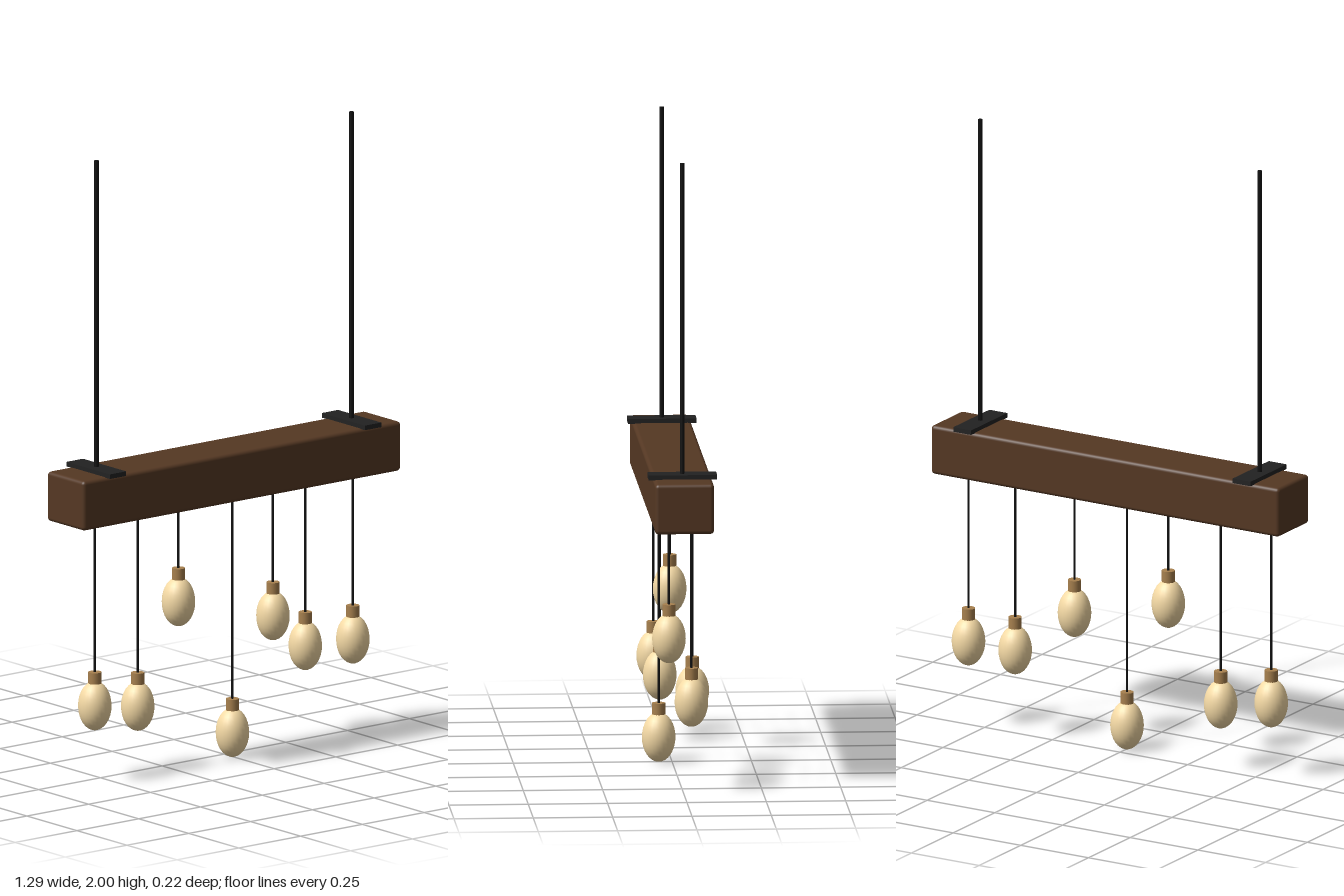
import * as THREE from 'three';
import { RoundedBoxGeometry } from 'three/addons/geometries/RoundedBoxGeometry.js';

export function createModel() {
  const root = new THREE.Group();
  root.name = 'pendantLamp';

  const wood = new THREE.MeshStandardMaterial({ color: 0x553823 });
  const iron = new THREE.MeshStandardMaterial({ color: 0x222222 });
  const cable = new THREE.MeshStandardMaterial({ color: 0x111111 });
  const brass = new THREE.MeshStandardMaterial({ color: 0xa8814f });
  const glass = new THREE.MeshStandardMaterial({ color: 0xf6dba6 });

  const add = (parent, name, geometry, material, x, y, z) => {
    const mesh = new THREE.Mesh(geometry, material);
    mesh.name = name;
    mesh.position.set(x, y, z);
    parent.add(mesh);
    return mesh;
  };

  // Wooden beam with softened edges
  const beamBottom = 0.836, beamTop = 0.996;
  add(root, 'beam', new RoundedBoxGeometry(1.286, beamTop - beamBottom, 0.186, 3, 0.012),
    wood, 0, (beamTop + beamBottom) / 2, 0);

  // Iron straps across the beam, each with a suspension rod
  for (const side of [-1, 1]) {
    const x = side * 0.516;
    const name = side > 0 ? 'left' : 'right';
    add(root, name + 'Bracket', new THREE.BoxGeometry(0.066, 0.015, 0.216), iron, x, 1.002, 0);
    add(root, name + 'Rod', new THREE.CylinderGeometry(0.0075, 0.0075, 1, 12), cable, x, 1.5, 0);
  }

  // Hanging bulbs: [height of the bulb's lowest point, z offset], right to left
  const hangers = [
    [0.166, 0.025], [0.135, 0.016], [0.442, -0.004], [0, 0.042],
    [0.346, 0.021], [0.21, -0.041], [0.206, -0.027],
  ];
  const bulbRadius = 0.053, bulbHalf = 0.079;
  const capHeight = 0.038, capTop = 0.188;
  const bulbGeometry = new THREE.SphereGeometry(1, 24, 16).scale(bulbRadius, bulbHalf, bulbRadius);
  const capGeometry = new THREE.CylinderGeometry(0.021, 0.021, capHeight, 16);

  hangers.forEach(([bottom, z], i) => {
    const pendant = new THREE.Group();
    pendant.name = 'pendant' + (i + 1);
    pendant.position.set((i - 3) * 0.181, bottom, z);
    root.add(pendant);

    const cordLength = beamBottom + 0.01 - bottom - capTop;
    add(pendant, 'bulb', bulbGeometry, glass, 0, bulbHalf, 0);
    add(pendant, 'socket', capGeometry, brass, 0, capTop - capHeight / 2, 0);
    add(pendant, 'cord', new THREE.CylinderGeometry(0.004, 0.004, cordLength, 8),
      cable, 0, capTop + cordLength / 2, 0);
  });

  return root;
}
